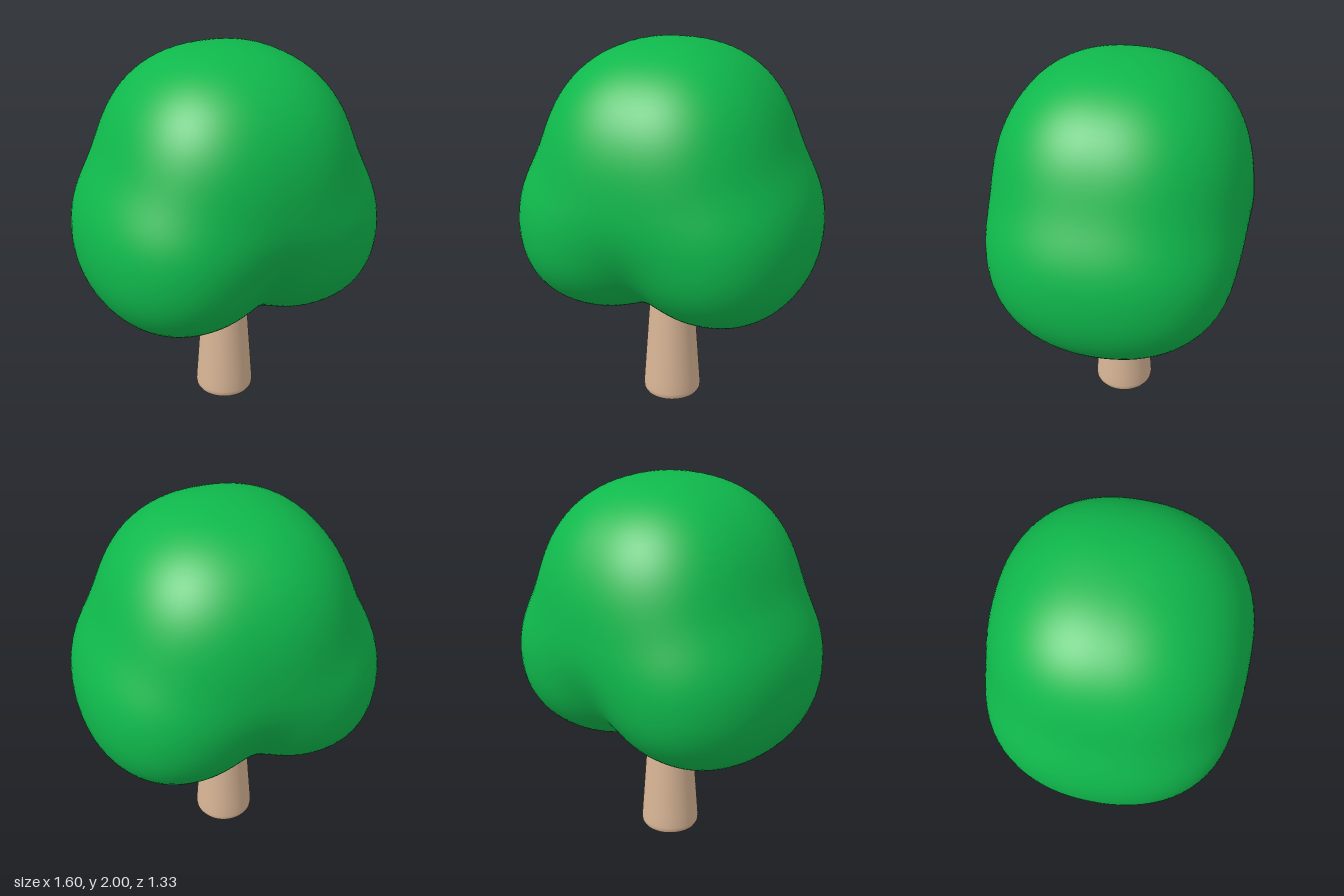
import * as THREE from 'three';
import { mergeVertices } from 'three/addons/utils/BufferGeometryUtils.js';

// Crown lobes: centre, radii (separate downward radius) and squareness
const LOBES = [
  { c: [0, 1.3, 0], r: [0.65, 0.7, 0.655], down: 0.5, p: 2.3 },
  { c: [0.32, 1.04, 0], r: [0.475, 0.485, 0.615], down: 0.485, p: 2.15 },
  { c: [-0.32, 1.04, 0], r: [0.475, 0.485, 0.615], down: 0.485, p: 2.15 },
];
const BLEND = 9;

// Smooth union of the lobes: negative inside, positive outside
function field(x, y, z) {
  let sum = 0;
  for (const { c, r, down, p } of LOBES) {
    const dy = y - c[1];
    const d = Math.abs((x - c[0]) / r[0]) ** p
      + Math.abs(dy / (dy < 0 ? down : r[1])) ** p
      + Math.abs((z - c[2]) / r[2]) ** p;
    sum += Math.exp(-BLEND * (d ** (1 / p) - 1));
  }
  return -Math.log(sum) / BLEND;
}

// Push every vertex of a sphere out to the blended surface
function crownGeometry() {
  let geo = new THREE.SphereGeometry(1, 96, 64);
  geo.deleteAttribute('uv');
  geo.deleteAttribute('normal');
  geo = mergeVertices(geo, 1e-5);
  const pos = geo.attributes.position;
  const centreY = 1.15;
  const v = new THREE.Vector3();
  for (let i = 0; i < pos.count; i++) {
    v.fromBufferAttribute(pos, i).normalize();
    let lo = 0, hi = 1.5;
    for (let k = 0; k < 30; k++) {
      const mid = (lo + hi) / 2;
      if (field(v.x * mid, centreY + v.y * mid, v.z * mid) < 0) lo = mid;
      else hi = mid;
    }
    pos.setXYZ(i, v.x * lo, centreY + v.y * lo, v.z * lo);
  }
  geo.computeVertexNormals();
  return geo;
}

// Tapered trunk with a rounded foot, running up into the crown
function trunkGeometry() {
  const profile = [
    [0, 0], [0.13, 0], [0.137, 0.001], [0.15, 0.008], [0.158, 0.022],
    [0.16, 0.042], [0.156, 0.1], [0.12, 0.6], [0.115, 0.78],
  ].map(([r, y]) => new THREE.Vector2(r, y));
  return new THREE.LatheGeometry(profile, 48);
}

export function createModel() {
  const leafGreen = new THREE.MeshStandardMaterial({ color: 0x0fb84c });
  leafGreen.name = 'leafGreen';
  const barkTan = new THREE.MeshStandardMaterial({ color: 0xd8b596 });
  barkTan.name = 'barkTan';

  const tree = new THREE.Group();
  tree.name = 'tree';
  const crown = new THREE.Mesh(crownGeometry(), leafGreen);
  crown.name = 'crown';
  const trunk = new THREE.Mesh(trunkGeometry(), barkTan);
  trunk.name = 'trunk';
  tree.add(crown, trunk);
  return tree;
}
